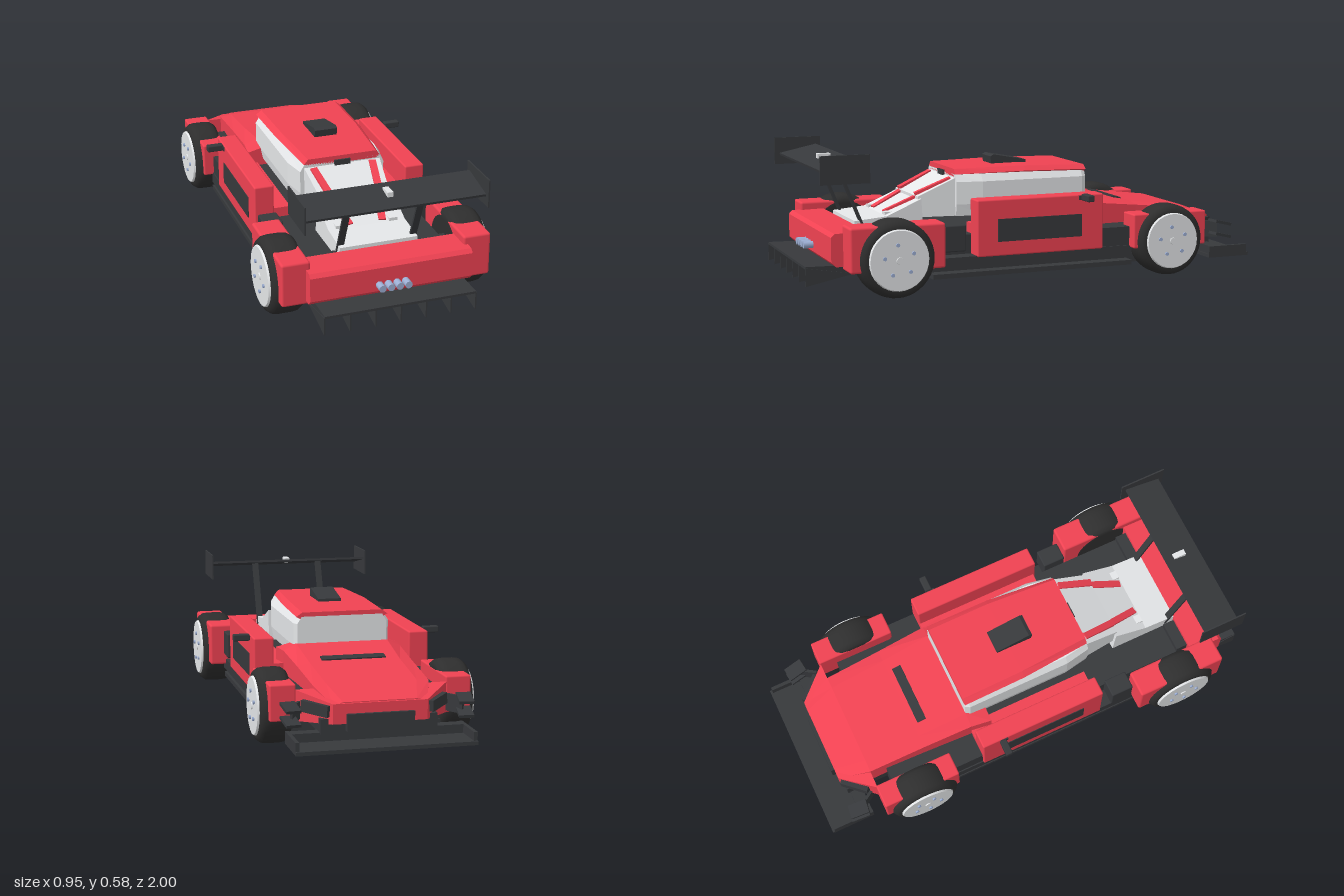
import * as THREE from 'three';
import { RoundedBoxGeometry } from 'three/addons/geometries/RoundedBoxGeometry.js';

export function createModel() {
  const car = new THREE.Group();
  const mat = (color) => new THREE.MeshStandardMaterial({ color });
  const red = mat(0xf04252), dark = mat(0x37393c), tyreMat = mat(0x2e2e2e);
  const pale = mat(0xe4e6e8), lamp = mat(0x9dafd4);

  const add = (name, geo, m, parent = car) => {
    const mesh = new THREE.Mesh(geo, m);
    mesh.name = name;
    parent.add(mesh);
    return mesh;
  };
  // Box given by its limits on each axis, with edges rounded by r
  const box = (name, m, x0, x1, y0, y1, z0, z1, r = 0) => {
    const size = [x1 - x0, y1 - y0, z1 - z0];
    const g = r ? new RoundedBoxGeometry(...size, 2, r) : new THREE.BoxGeometry(...size);
    g.translate((x0 + x1) / 2, (y0 + y1) / 2, (z0 + z1) / 2);
    return add(name, g, m);
  };
  const pair = (name, m, x0, x1, ...rest) => {
    box(name + 'Left', m, x0, x1, ...rest);
    box(name + 'Right', m, -x1, -x0, ...rest);
  };
  // Side profile of [z, y] points, extruded from x0 to x1
  const side = (name, m, pts, x0, x1) => {
    const shape = new THREE.Shape(pts.map(([z, y]) => new THREE.Vector2(-z, y)));
    const g = new THREE.ExtrudeGeometry(shape, { depth: x1 - x0, bevelEnabled: false });
    g.rotateY(Math.PI / 2).translate(x0, 0, 0);
    return add(name, g, m);
  };
  // Loft through mirrored sections [z, half outline from bottom to top], z rising
  const loft = (name, m, sections) => {
    const rings = sections.map(([z, half]) => [
      ...half.map(([x, y]) => [x, y, z]),
      ...half.slice().reverse().map(([x, y]) => [-x, y, z]),
    ]);
    const pos = [], n = rings[0].length;
    const tri = (a, b, c) => pos.push(...a, ...b, ...c);
    for (let s = 0; s < rings.length - 1; s++) {
      for (let i = 0; i < n; i++) {
        const j = (i + 1) % n, A = rings[s], B = rings[s + 1];
        tri(A[i], A[j], B[j]);
        tri(A[i], B[j], B[i]);
      }
    }
    const first = rings[0], last = rings[rings.length - 1];
    for (let i = 1; i < n - 1; i++) {
      tri(first[0], first[i + 1], first[i]);
      tri(last[0], last[i], last[i + 1]);
    }
    const g = new THREE.BufferGeometry();
    g.setAttribute('position', new THREE.Float32BufferAttribute(pos, 3));
    g.computeVertexNormals();
    return add(name, g, m);
  };
  // Slanted bar between two points
  const bar = (name, m, a, b, w, t) => {
    const p = new THREE.Vector3(...a), q = new THREE.Vector3(...b);
    const mesh = add(name, new THREE.BoxGeometry(w, t, p.distanceTo(q)), m);
    mesh.position.copy(p).lerp(q, 0.5);
    mesh.lookAt(q);
    return mesh;
  };

  // Chassis: flat floor rising to the diffuser, sills and inner tub
  side('floor', dark, [[-0.68, 0.056], [0.56, 0.056], [1, 0.125], [1, 0.135], [0.75, 0.13], [-0.68, 0.085]], -0.315, 0.315);
  side('tub', dark, [[-0.68, 0.08], [0.55, 0.08], [0.78, 0.12], [0.78, 0.22], [-0.68, 0.22]], -0.3, 0.3);
  box('underNose', dark, -0.235, 0.235, 0.1, 0.16, -0.87, -0.68);
  box('floorEdge', dark, -0.37, 0.37, 0.055, 0.075, -0.42, 0.48);
  pair('sill', dark, 0.28, 0.37, 0.09, 0.14, -0.42, 0.5);
  pair('sideTub', dark, 0.28, 0.365, 0.11, 0.22, -0.42, -0.27);
  pair('sideIntake', dark, 0.3, 0.38, 0.165, 0.275, 0.34, 0.44, 0.006);
  for (let i = 0; i < 7; i++) {
    const x = -0.315 + i * 0.105;
    side('diffuserFin', dark, [[0.8, 0.095], [1, 0.055], [1, 0.13]], x - 0.003, x + 0.003);
  }

  // Nose and bonnet
  const bonnet = (w, edge, mid, low) => [[w, low], [w, edge], [w * 0.78, mid]];
  loft('bonnet', red, [
    [-0.88, bonnet(0.19, 0.215, 0.225, 0.15)],
    [-0.75, bonnet(0.235, 0.265, 0.272, 0.15)],
    [-0.5, bonnet(0.243, 0.292, 0.303, 0.18)],
    [-0.28, bonnet(0.253, 0.315, 0.342, 0.22)],
    [-0.19, bonnet(0.265, 0.315, 0.33, 0.25)],
  ]);
  loft('nose', red, [
    [-0.885, [[0.19, 0.14], [0.19, 0.22]]],
    [-0.75, [[0.31, 0.13], [0.31, 0.255]]],
  ]);
  bar('bonnetVent', dark, [0, 0.306, -0.48], [0, 0.313, -0.44], 0.27, 0.012);
  box('noseIntake', dark, -0.135, 0.135, 0.11, 0.18, -0.9, -0.8);
  for (const s of [-1, 1]) {
    bar('headlight', dark, [s * 0.2, 0.19, -0.875], [s * 0.285, 0.2, -0.785], 0.035, 0.045);
    for (const y of [0.145, 0.2]) {
      bar('divePlane', dark, [s * 0.345, y, -0.9], [s * 0.355, y + 0.02, -0.82], 0.06, 0.012);
    }
    bar('divePlaneMount', dark, [s * 0.3, 0.18, -0.78], [s * 0.345, 0.18, -0.85], 0.012, 0.07);
  }
  box('splitter', dark, -0.36, 0.36, 0.055, 0.07, -1, -0.805);
  box('splitterWall', dark, -0.35, 0.35, 0.06, 0.105, -0.86, -0.81);
  pair('splitterEnd', dark, 0.345, 0.36, 0.055, 0.105, -0.99, -0.805);

  // Cabin glass, roof and roof scoop
  const glass = (k) => [[0.195 * k, 0.28], [0.205 * k, 0.33], [0.205 * k, 0.425], [0.185 * k, 0.455]];
  loft('cabinGlass', pale, [
    [-0.28, glass(0.94)], [-0.26, glass(1)], [0.2, glass(1)], [0.31, glass(0.9)],
  ]);
  loft('roof', red, [
    [-0.28, [[0.18, 0.445], [0.197, 0.455], [0.172, 0.473]]],
    [0, [[0.175, 0.45], [0.194, 0.46], [0.17, 0.48]]],
    [0.31, [[0.15, 0.445], [0.168, 0.455], [0.15, 0.477]]],
  ]);
  side('roofScoop', dark, [[-0.06, 0.475], [0.1, 0.475], [0.105, 0.51], [0.09, 0.518], [-0.06, 0.49]], -0.05, 0.05);
  box('roofSlot', dark, -0.035, 0.035, 0.435, 0.46, 0.29, 0.318);

  // Rear window in two steps, engine deck and red strips
  loft('rearWindowUpper', pale, [
    [0.3, [[0.168, 0.28], [0.168, 0.445]]],
    [0.47, [[0.15, 0.28], [0.15, 0.368]]],
  ]);
  side('rearWindowLower', pale, [[0.45, 0.2], [0.75, 0.2], [0.75, 0.283], [0.61, 0.295], [0.46, 0.36]], -0.165, 0.165);
  for (const s of [-1, 1]) {
    bar('windowStripUpper', red, [s * 0.13, 0.437, 0.32], [s * 0.105, 0.374, 0.47], 0.03, 0.012);
    bar('windowStripLower', red, [s * 0.1, 0.362, 0.465], [s * 0.07, 0.3, 0.6], 0.03, 0.012);
    box('deckHinge', pale, s * 0.115 - 0.018, s * 0.115 + 0.018, 0.28, 0.308, 0.56, 0.61);
  }

  // Doors with low inner shelf, dark panel and mirrors
  pair('door', red, 0.293, 0.378, 0.135, 0.372, -0.28, 0.29, 0.007);
  pair('doorShelf', red, 0.22, 0.3, 0.2, 0.262, -0.28, 0.28);
  pair('doorPanel', dark, 0.37, 0.381, 0.195, 0.29, -0.18, 0.2);
  pair('doorHandle', dark, 0.37, 0.383, 0.35, 0.368, -0.2, -0.165);
  pair('mirror', dark, 0.38, 0.45, 0.348, 0.376, -0.205, -0.175, 0.005);
  pair('mirrorArm', dark, 0.36, 0.385, 0.352, 0.366, -0.195, -0.185);

  // Fenders and rear bumper
  pair('frontFender', red, 0.305, 0.41, 0.13, 0.277, -0.755, -0.41, 0.007);
  pair('rearFender', red, 0.322, 0.44, 0.115, 0.3, 0.45, 0.85, 0.01);
  side('rearBumper', red, [[0.75, 0.13], [0.88, 0.13], [0.9, 0.15], [0.9, 0.25], [0.885, 0.265], [0.75, 0.268]], -0.34, 0.34);
  pair('deckCorner', dark, 0.17, 0.3, 0.2, 0.25, 0.7, 0.76);
  for (let i = 0; i < 4; i++) {
    const g = new THREE.CylinderGeometry(0.015, 0.015, 0.05, 16).rotateX(Math.PI / 2);
    add('tailLamp', g, lamp).position.set(-0.055 + i * 0.0365, 0.178, 0.915);
  }

  // Rear wing, its blade falling towards the trailing edge
  bar('wingBlade', dark, [0, 0.545, 0.765], [0, 0.511, 0.927], 0.75, 0.01);
  pair('wingEndPlate', dark, 0.372, 0.378, 0.467, 0.583, 0.745, 0.95);
  for (const s of [-1, 1]) {
    bar('wingStrut', dark, [s * 0.155, 0.25, 0.71], [s * 0.155, 0.53, 0.825], 0.028, 0.01);
  }
  box('wingLight', pale, -0.012, 0.012, 0.53, 0.55, 0.805, 0.86);

  // Wheels: rounded tyre, pale disc, raised centre and bolts
  const wheel = (s, x, y, z, r, w) => {
    const g = new THREE.Group();
    g.name = 'wheel';
    const h = w / 2;
    const profile = [[0.02, -h], [0.78, -h], [0.9, -h * 0.93], [0.98, -h * 0.68], [1, -h * 0.35],
      [1, h * 0.35], [0.98, h * 0.68], [0.9, h * 0.93], [0.78, h], [0.02, h]]
      .map(([k, t]) => new THREE.Vector2(k * r, t));
    add('tyre', new THREE.LatheGeometry(profile, 40), tyreMat, g);
    add('wheelDisc', new THREE.CylinderGeometry(r * 0.76, r * 0.8, 0.012, 32), pale, g).position.y = h + 0.002;
    add('hubCap', new THREE.CylinderGeometry(0.014, 0.018, 0.012, 8), pale, g).position.y = h + 0.006;
    for (let i = 0; i < 5; i++) {
      const a = i * Math.PI * 0.4 + 0.5;
      add('wheelBolt', new THREE.CylinderGeometry(0.008, 0.008, 0.02, 8), lamp, g)
        .position.set(Math.cos(a) * r * 0.4, h + 0.005, Math.sin(a) * r * 0.4);
    }
    g.rotation.z = -s * Math.PI / 2;
    g.position.set(s * x, y, z);
    car.add(g);
  };
  for (const s of [-1, 1]) {
    wheel(s, 0.391, 0.163, 0.655, 0.16, 0.142);
    wheel(s, 0.372, 0.159, -0.578, 0.153, 0.132);
  }
  return car;
}
